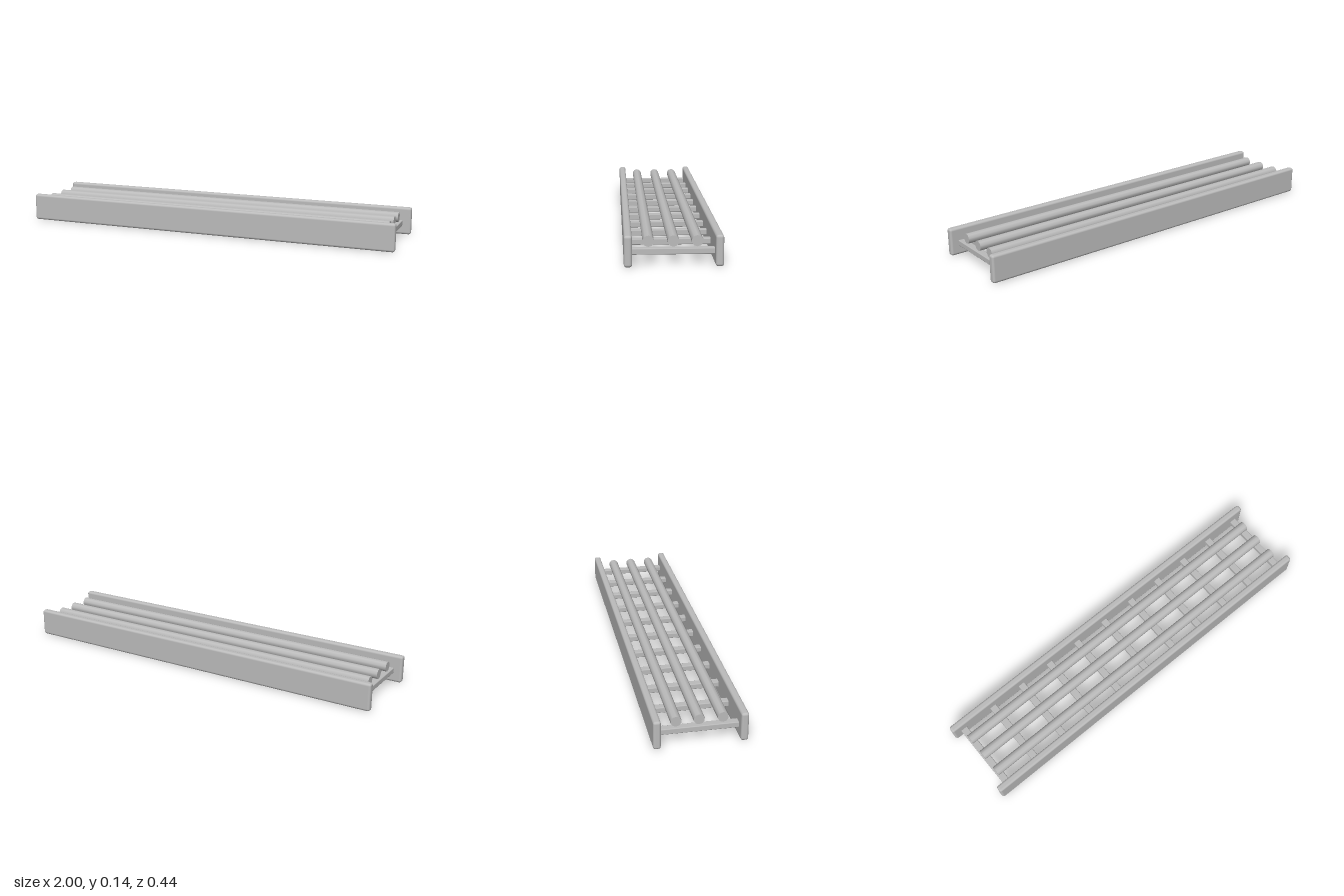
import * as THREE from 'three';
import { RoundedBoxGeometry } from 'three/addons/geometries/RoundedBoxGeometry.js';

export function createModel() {
  const group = new THREE.Group();
  group.name = 'pipeTray';
  const grey = new THREE.MeshStandardMaterial({ color: 0xbcbcbc });
  grey.name = 'grey';
  const pipeGrey = grey;

  const add = (name, geometry, material, x, y, z) => {
    const mesh = new THREE.Mesh(geometry, material);
    mesh.name = name;
    mesh.position.set(x, y, z);
    group.add(mesh);
    return mesh;
  };

  // Long side rails with rounded edges
  const railGeo = new RoundedBoxGeometry(2, 0.141, 0.036, 2, 0.012);
  add('frontRail', railGeo, grey, 0, 0.0705, 0.2);
  add('backRail', railGeo, grey, 0, 0.0705, -0.2);

  // Rungs joining the rails
  const rungGeo = new RoundedBoxGeometry(0.037, 0.028, 0.38, 1, 0.004);
  for (let i = 0; i < 11; i++) {
    add(`rung${i + 1}`, rungGeo, grey, -0.94 + i * 0.188, 0.0615, 0);
  }

  // Faceted pipes lying lengthwise above the rungs
  const pipeGeo = new THREE.CylinderGeometry(0.0255, 0.0255, 1.904, 10);
  pipeGeo.rotateY(Math.PI / 10).rotateZ(Math.PI / 2);
  // Turn each pipe so that a flat facet faces up
  pipeGeo.rotateX(0);
  [0.11, 0, -0.106].forEach((z, i) => {
    add(`pipe${i + 1}`, pipeGeo, pipeGrey, 0, 0.1065, z);
  });

  return group;
}
